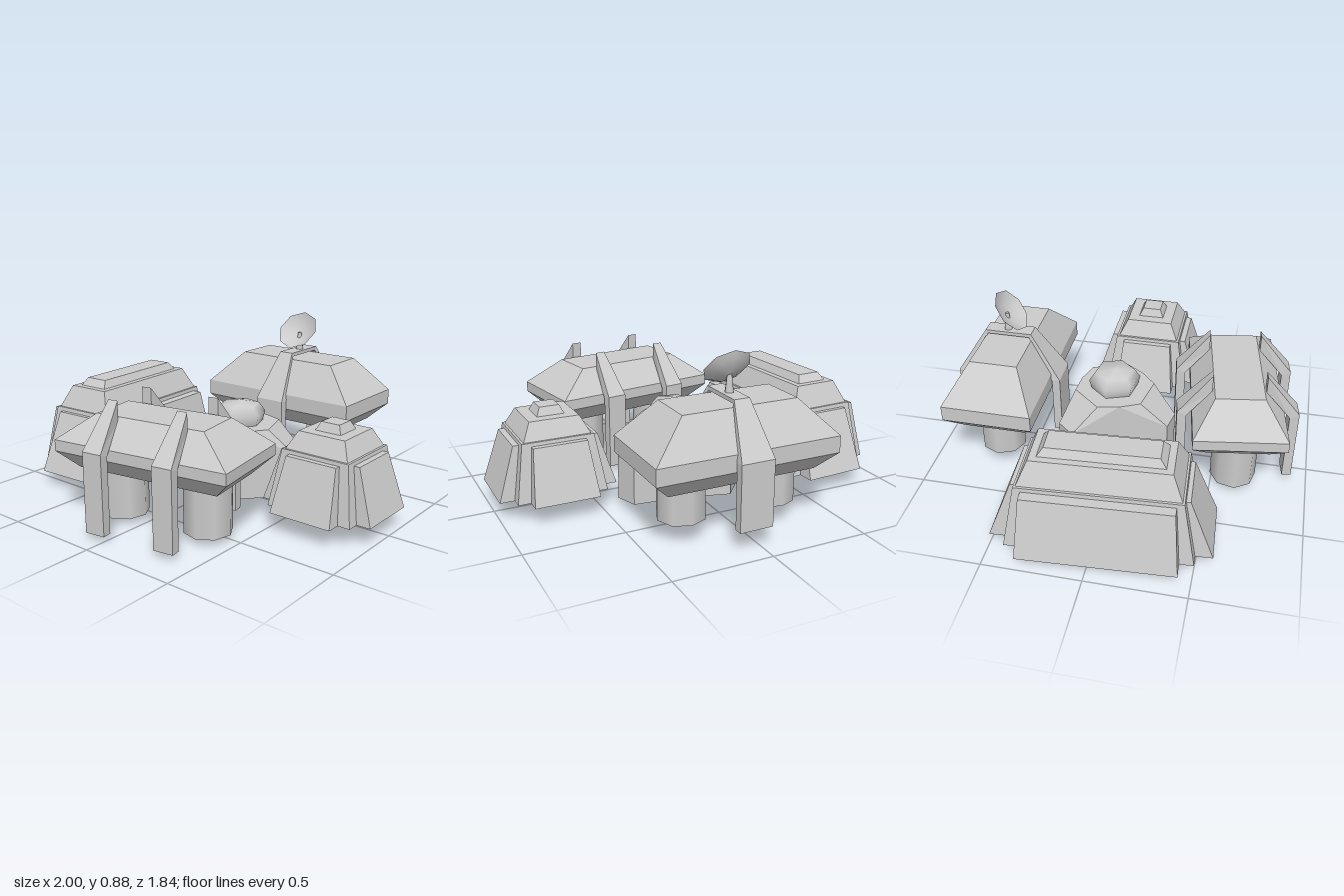
import * as THREE from 'three';

const flat = new THREE.MeshStandardMaterial({ color: 0xcccccc, flatShading: true, side: THREE.DoubleSide });
const smooth = new THREE.MeshStandardMaterial({ color: 0xcccccc, side: THREE.DoubleSide });

function add(parent, name, geometry, material, x = 0, y = 0, z = 0) {
  const mesh = new THREE.Mesh(geometry, material);
  mesh.name = name;
  mesh.position.set(x, y, z);
  parent.add(mesh);
  return mesh;
}

function subgroup(parent, name, x, z, turn = 0) {
  const g = new THREE.Group();
  g.name = name;
  g.position.set(x, 0, z);
  g.rotation.y = turn;
  parent.add(g);
  return g;
}

// Skin a row of equal-sized rings, each counter-clockwise seen from above
function loft(rings, { top = true, bottom = false } = {}) {
  const pos = [];
  const tri = (a, b, c) => pos.push(...a, ...b, ...c);
  const n = rings[0].length;
  for (let r = 0; r + 1 < rings.length; r++) {
    const lo = rings[r], hi = rings[r + 1];
    for (let i = 0; i < n; i++) {
      const j = (i + 1) % n;
      tri(lo[i], lo[j], hi[j]);
      tri(lo[i], hi[j], hi[i]);
    }
  }
  const last = rings[rings.length - 1];
  for (let i = 1; i + 1 < n; i++) {
    if (top) tri(last[0], last[i], last[i + 1]);
    if (bottom) tri(rings[0][0], rings[0][i + 1], rings[0][i]);
  }
  const g = new THREE.BufferGeometry();
  g.setAttribute('position', new THREE.Float32BufferAttribute(pos, 3));
  g.computeVertexNormals();
  return g;
}

const rect = (w, y, d) => [[w, y, d], [w, y, -d], [-w, y, -d], [-w, y, d]];
const frustum = (w0, d0, y0, w1, d1, y1) => loft([rect(w0, y0, d0), rect(w1, y1, d1)]);

// Strap cross-section: half width, outer edge (y, z), inner edge (y, z)
const section = ([w, yo, zo, yi, zi]) => [[w, yo, zo], [w, yi, zi], [-w, yi, zi], [-w, yo, zo]];

// Raised pod: faceted hull standing on two columns
function pod(g, rimTop, roofTop, footY) {
  add(g, 'hull', loft([
    rect(0.38, 0.285, 0.16), rect(0.47, 0.374, 0.235),
    rect(0.47, rimTop, 0.235), rect(0.295, roofTop, 0.125),
  ], { bottom: true }), flat);
  const h = 0.3 - footY;
  for (const s of [-1, 1])
    add(g, 'column', new THREE.CylinderGeometry(0.12, 0.12, h, 8, 1, true), smooth, s * 0.24, footY + h / 2, 0);
}

// Stepped block: two crossing arms, a middle block, an upper tier and a cap
function steppedBlock(g, s) {
  add(g, 'longArm', frustum(...s.longArm), flat);
  add(g, 'wideArm', frustum(...s.wideArm), flat);
  add(g, 'middleBlock', frustum(...s.middle), flat);
  add(g, 'upperTier', frustum(...s.upper), flat);
  add(g, 'cap', frustum(...s.cap), flat);
}

export function createModel() {
  const model = new THREE.Group();
  model.name = 'outpost';

  // Back pod with one strap passing over the roof
  const back = subgroup(model, 'backPod', 0.04, -0.635);
  pod(back, 0.457, 0.635, 0.1);
  const half = [
    [0.085, 0.1, 0.283, 0.1, 0.24],
    [0.085, 0.425, 0.283, 0.42, 0.24],
    [0.04, 0.67, 0.125, 0.65, 0.113],
  ];
  const mirrored = half.map(([w, yo, zo, yi, zi]) => [w, yo, -zo, yi, -zi]).reverse();
  add(back, 'strap', loft([...half, ...mirrored].map(section), { top: false }), flat);

  // Dish on the back pod
  add(back, 'dishStalk', new THREE.CylinderGeometry(0.01, 0.022, 0.1, 8), smooth, 0, 0.715, -0.01);
  const bowl = [[0, -0.045], [0.05, -0.037], [0.09, -0.02], [0.12, 0]].map(p => new THREE.Vector2(...p));
  const dish = add(back, 'dish', new THREE.LatheGeometry(bowl, 8), smooth, 0, 0.783, 0.015);
  dish.rotation.x = 0.885;

  // Front pod with four bent legs
  const front = subgroup(model, 'frontPod', 0.097, 0.573, 0.16);
  pod(front, 0.43, 0.56, 0.03);
  const leg = loft([
    [0.052, 0.03, 0.31, 0.03, 0.262],
    [0.052, 0.43, 0.31, 0.41, 0.262],
    [0.026, 0.64, 0.135, 0.55, 0.135],
  ].map(section));
  for (const x of [-0.19, 0.19])
    for (const turn of [0, Math.PI])
      add(front, 'bentLeg', leg, flat, x, 0, 0).rotation.y = turn;

  // Large stepped block on the right, small one on the left
  steppedBlock(subgroup(model, 'largeSteppedBlock', -0.67, 0.037, 0.06), {
    longArm: [0.168, 0.54, 0.075, 0.14, 0.42, 0.39],
    wideArm: [0.307, 0.385, 0.075, 0.235, 0.36, 0.39],
    middle: [0.228, 0.455, 0.075, 0.182, 0.395, 0.41],
    upper: [0.17, 0.385, 0.41, 0.118, 0.335, 0.525],
    cap: [0.085, 0.3, 0.525, 0.063, 0.27, 0.565],
  });
  steppedBlock(subgroup(model, 'smallSteppedBlock', 0.7, 0.023), {
    longArm: [0.165, 0.3, 0.1, 0.137, 0.215, 0.37],
    wideArm: [0.3, 0.165, 0.1, 0.215, 0.137, 0.37],
    middle: [0.228, 0.228, 0.1, 0.182, 0.182, 0.388],
    upper: [0.17, 0.17, 0.388, 0.127, 0.127, 0.475],
    cap: [0.07, 0.07, 0.475, 0.05, 0.05, 0.517],
  });

  // Central three-lobed hub with sloping lobe roofs
  const hub = subgroup(model, 'centralHub', 0.05, -0.07);
  const lobes = (r, w, y, midY) => {
    const ring = [];
    for (let k = 0; k < 3; k++) {
      const a = THREE.MathUtils.degToRad(101 - 120 * k);
      const c = Math.cos(a), s = Math.sin(a), m = a - Math.PI / 3;
      ring.push([r * c - w * s, y, r * s + w * c], [r * c + w * s, y, r * s - w * c]);
      ring.push([0.195 * Math.cos(m), midY, 0.195 * Math.sin(m)]);
    }
    return ring;
  };
  add(hub, 'hubBody', loft([
    lobes(0.33, 0.06, 0, 0), lobes(0.33, 0.06, 0.23, 0.37), lobes(0.19, 0.1, 0.37, 0.37),
  ]), flat);

  // Six-sided dome on the hub
  const dome = [[0.125, 0.365], [0.14, 0.42], [0.105, 0.47], [0, 0.49]].map(p => new THREE.Vector2(...p));
  add(hub, 'dome', new THREE.LatheGeometry(dome, 6), smooth).rotation.y = 0.35;

  return model;
}
